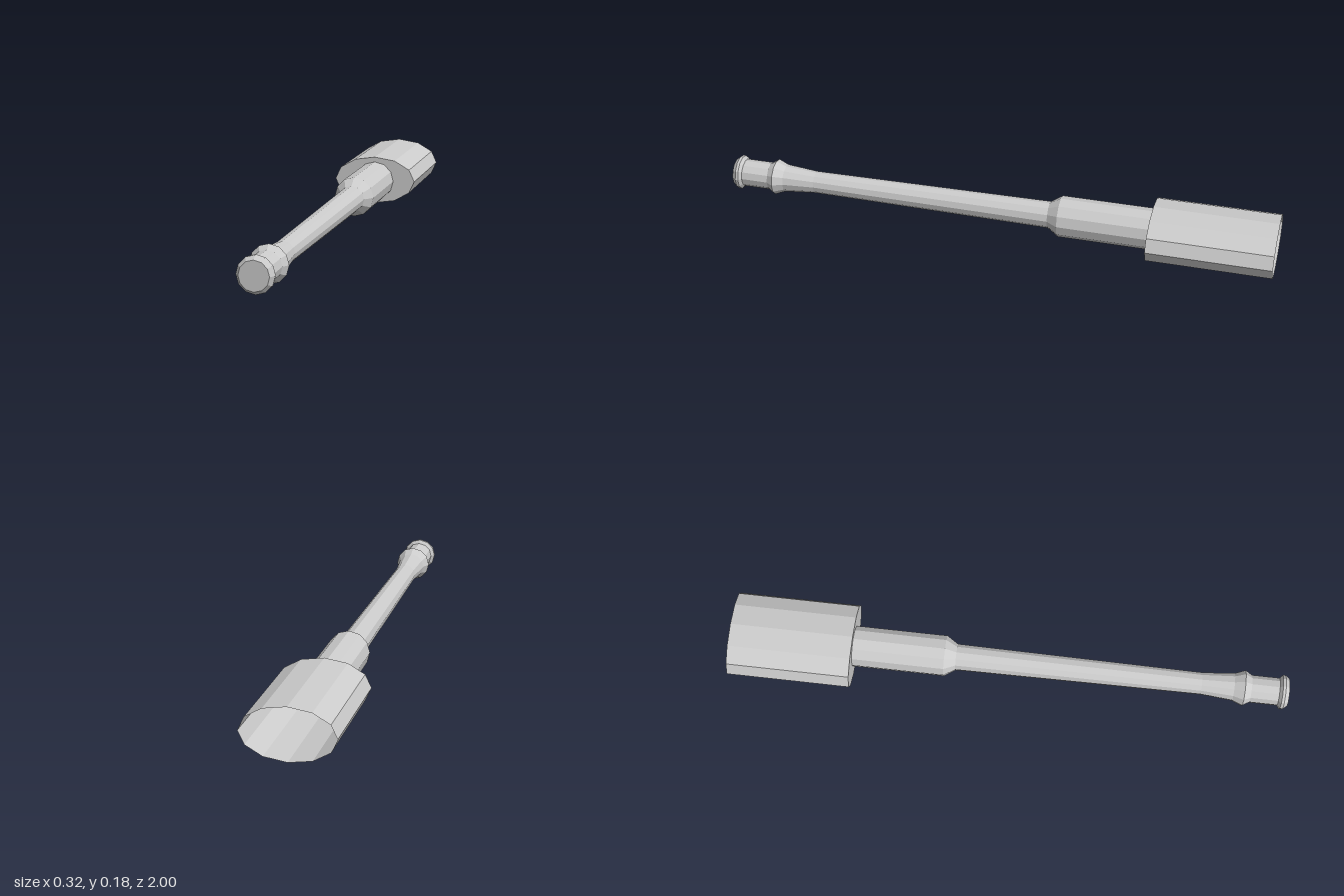
import * as THREE from 'three';

const SIDES = 12;

// Turns a [radius, z] profile (listed back to front) around the z axis.
function turned(name, profile, y, material) {
  const points = profile.map(([r, z]) => new THREE.Vector2(r, z));
  const geometry = new THREE.LatheGeometry(points, SIDES);
  geometry.rotateX(Math.PI / 2);
  const mesh = new THREE.Mesh(geometry, material);
  mesh.name = name;
  mesh.position.y = y;
  return mesh;
}

export function createModel() {
  const group = new THREE.Group();
  group.name = 'handledTool';
  const material = new THREE.MeshStandardMaterial({
    color: 0xcccccc, flatShading: true, side: THREE.DoubleSide,
  });

  // Oval head: closed at the front, open and hollow at the back
  const head = turned('head', [[1, -1], [1, -0.56], [0, -0.56]], 0.092, material);
  head.scale.set(0.158, 0.091, 1);
  group.add(head);

  // Thick collar stepping down to the shaft
  group.add(turned('collar', [[0.074, -0.56], [0.074, -0.23], [0.048, -0.19]], 0.09, material));

  // Slim shaft, widening again toward the grip
  group.add(turned('shaft', [[0.048, -0.19], [0.04, 0.69], [0.05, 0.805]], 0.09, material));

  // Grip with a raised ring and a flared, flat-ended pommel
  group.add(turned('grip', [
    [0.05, 0.805], [0.065, 0.842], [0.05, 0.866], [0.05, 0.965],
  ], 0.09, material));
  group.add(turned('pommel', [
    [0.05, 0.965], [0.062, 0.975], [0.062, 0.985], [0.05, 1], [0, 1],
  ], 0.09, material));

  return group;
}
